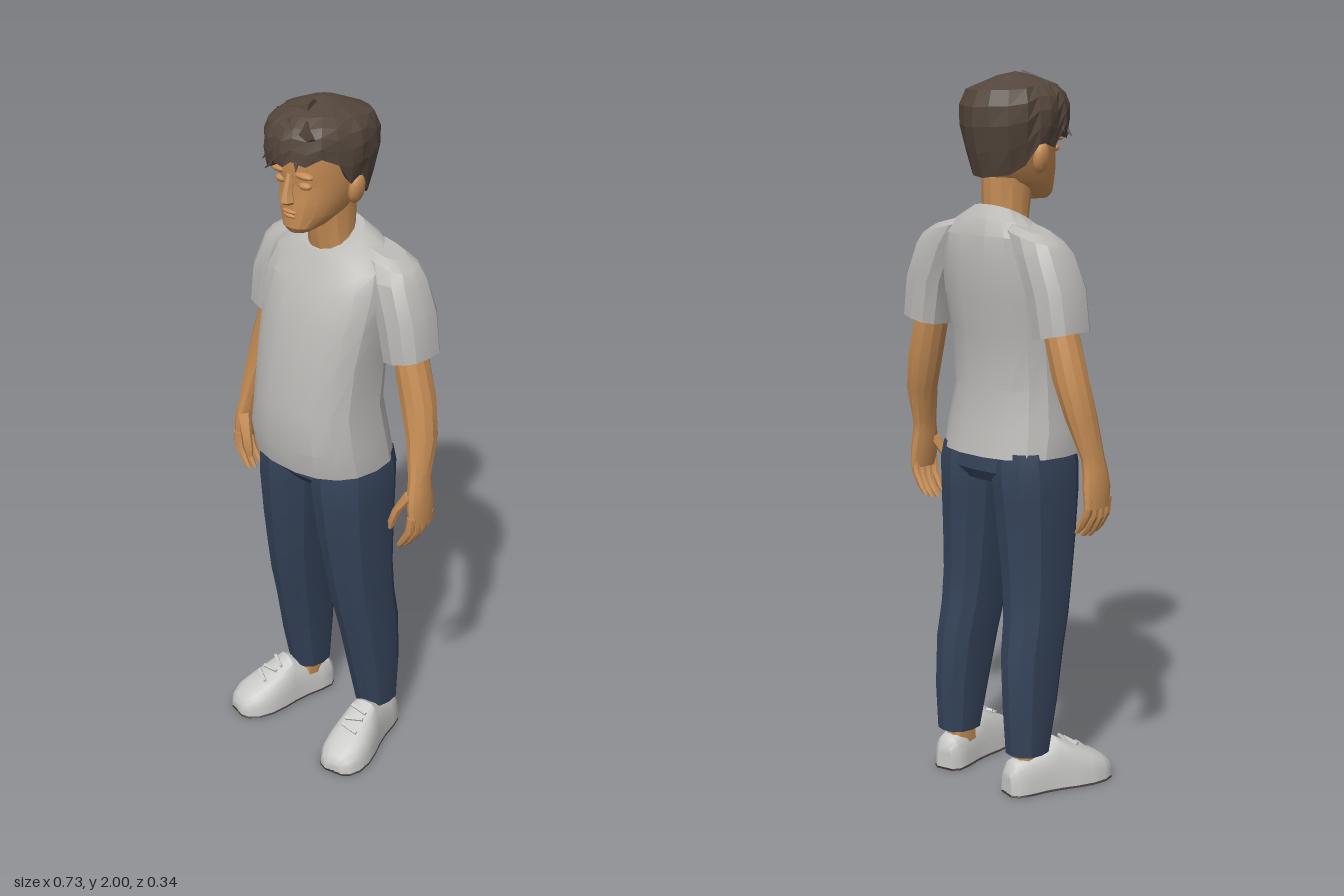
import * as THREE from 'three';
import { toCreasedNormals } from 'three/addons/utils/BufferGeometryUtils.js';

const mat = (name, color, flatShading = false) => {
  const m = new THREE.MeshStandardMaterial({ color, flatShading });
  m.name = name;
  return m;
};

// Skin a stack of closed rings of Vector3, with fan caps on both ends.
function skinRings(rings, crease = 0.4) {
  const n = rings[0].length, pos = [], idx = [];
  rings.forEach(r => r.forEach(p => pos.push(p.x, p.y, p.z)));
  for (let r = 0; r < rings.length - 1; r++) {
    for (let i = 0; i < n; i++) {
      const a = r * n + i, b = r * n + (i + 1) % n;
      idx.push(a, a + n, b, b, a + n, b + n);
    }
  }
  [0, rings.length - 1].forEach((r, end) => {
    const c = new THREE.Vector3();
    rings[r].forEach(p => c.addScaledVector(p, 1 / n));
    const ci = pos.length / 3;
    pos.push(c.x, c.y, c.z);
    for (let i = 0; i < n; i++) {
      const a = r * n + i, b = r * n + (i + 1) % n;
      if (end) idx.push(ci, b, a); else idx.push(ci, a, b);
    }
  });
  const g = new THREE.BufferGeometry();
  g.setAttribute('position', new THREE.Float32BufferAttribute(pos, 3));
  g.setIndex(idx);
  return toCreasedNormals(g, crease);
}

const spow = (v, e) => Math.sign(v) * Math.abs(v) ** e;

// Level sections, bottom to top: [y, centreX, halfWidth, zFront, zBack, tiltX, tiltZ]
function loft(sections, side = 1, n = 14, e = 0.85) {
  return skinRings(sections.map(([y, cx, rx, zf, zb, tx = 0, tz = 0]) =>
    Array.from({ length: n }, (_, i) => {
      const a = (i / n) * Math.PI * 2;
      const c = spow(Math.cos(a), e), s = spow(Math.sin(a), e);
      return new THREE.Vector3(cx * side + rx * c, y + tx * c * side + tz * s,
        (zf + zb) / 2 + (zf - zb) / 2 * s);
    })));
}

// Flat-bottomed sections along a shoe, toe to heel: [z, halfWidth, height]
function shoeLoft(sections, y0) {
  return skinRings(sections.map(([z, w, h]) =>
    Array.from({ length: 13 }, (_, i) => {
      const a = (i / 12) * Math.PI;
      return new THREE.Vector3(w * spow(Math.cos(a), 0.65),
        y0 + h * Math.max(0, Math.sin(a)) ** 0.8, z);
    })), 0.7);
}

export function createModel() {
  const model = new THREE.Group();
  const skin = mat('skin', 0xc68d55), shirt = mat('shirt grey', 0xbab9b6);
  const denim = mat('denim blue', 0x35435a), hairMat = mat('dark brown hair', 0x54463c, true);
  const shoeMat = mat('shoe white', 0xc9c9c7), soleMat = mat('dark sole', 0x3c3633);
  const add = (name, geo, m, parent = model) => {
    const mesh = new THREE.Mesh(geo, m);
    mesh.name = name;
    parent.add(mesh);
    return mesh;
  };
  const blob = (name, m, p, s, parent = model) => {
    const b = add(name, new THREE.SphereGeometry(1, 10, 8), m, parent);
    b.position.set(...p);
    b.scale.set(...s);
    return b;
  };

  // Shirt body, with the neckline dipping at the front
  add('shirtBody', loft([
    [0.965, 0, 0.203, 0.155, -0.175], [1.04, 0, 0.2, 0.17, -0.16],
    [1.15, 0, 0.183, 0.165, -0.142], [1.3, 0, 0.186, 0.14, -0.15],
    [1.4, 0, 0.195, 0.115, -0.165], [1.5, 0, 0.2, 0.08, -0.168],
    [1.555, 0, 0.19, 0.05, -0.163, 0, -0.015], [1.59, 0, 0.145, 0.037, -0.145, 0, -0.025],
    [1.615, 0, 0.088, 0.026, -0.115, 0, -0.035],
  ], 1, 18), shirt);

  // Hips
  add('trouserSeat', loft([
    [0.89, 0, 0.17, 0.08, -0.14], [0.92, 0, 0.199, 0.105, -0.158], [1.0, 0, 0.19, 0.1, -0.15],
  ], 1, 16), denim);

  for (const side of [1, -1]) {
    const tag = side > 0 ? 'left' : 'right';

    add(tag + 'Sleeve', loft([
      [1.315, 0.255, 0.066, -0.005, -0.162, 0.015], [1.43, 0.235, 0.07, 0, -0.166, 0.01],
      [1.53, 0.192, 0.076, -0.01, -0.162], [1.575, 0.165, 0.085, -0.03, -0.15, -0.02],
      [1.595, 0.15, 0.06, -0.05, -0.13, -0.015],
    ], side, 12, 0.8), shirt);

    // Arm and hand
    const arm = new THREE.Group();
    arm.name = tag + 'Arm';
    model.add(arm);
    add(tag + 'Forearm', loft([
      [0.855, 0.347, 0.018, 0.01, -0.085], [0.91, 0.343, 0.024, 0.012, -0.085],
      [0.955, 0.338, 0.026, 0.005, -0.08], [0.99, 0.333, 0.026, -0.004, -0.08],
      [1.1, 0.314, 0.041, -0.02, -0.116], [1.2, 0.286, 0.051, -0.028, -0.13],
      [1.3, 0.258, 0.048, -0.03, -0.132], [1.37, 0.235, 0.045, -0.035, -0.13],
    ], side, 12, 1), skin, arm);
    for (let f = 0; f < 4; f++) {
      const z = 0.002 - f * 0.024, lift = [0.008, 0, 0.004, 0.016][f];
      add(tag + 'Finger', loft([
        [0.765 + lift, 0.303, 0.008, z + 0.006, z - 0.006],
        [0.785 + lift, 0.318, 0.013, z + 0.01, z - 0.01],
        [0.825 + lift, 0.341, 0.014, z + 0.012, z - 0.012],
        [0.88, 0.347, 0.014, z + 0.012, z - 0.012],
      ], side, 7, 1), skin, arm);
    }
    add(tag + 'Thumb', loft([
      [0.826, 0.281, 0.007, 0.022, 0.008], [0.848, 0.285, 0.012, 0.026, 0.002],
      [0.89, 0.3, 0.014, 0.024, -0.006], [0.945, 0.332, 0.02, 0.008, -0.03],
    ], side, 7, 1), skin, arm);

    // Trouser leg and ankle
    add(tag + 'TrouserLeg', loft([
      [0.115, 0.14, 0.056, -0.03, -0.156], [0.25, 0.138, 0.062, 0.002, -0.165],
      [0.4, 0.131, 0.069, 0.032, -0.163], [0.5, 0.126, 0.075, 0.055, -0.145],
      [0.6, 0.12, 0.08, 0.072, -0.14], [0.72, 0.113, 0.088, 0.09, -0.145],
      [0.85, 0.106, 0.096, 0.105, -0.153], [0.93, 0.101, 0.1, 0.108, -0.158],
      [0.98, 0.1, 0.09, 0.1, -0.15],
    ], side, 12), denim);
    add(tag + 'Ankle', loft([
      [0.07, 0.138, 0.036, -0.04, -0.135], [0.16, 0.14, 0.036, -0.045, -0.135],
    ], side, 10), skin);

    // Shoe, toes turned out
    const shoe = new THREE.Group();
    shoe.name = tag + 'Shoe';
    shoe.position.x = 0.168 * side;
    shoe.rotation.y = 0.24 * side;
    model.add(shoe);
    const outline = [
      [0.168, 0.028, 0.028], [0.155, 0.05, 0.048], [0.125, 0.067, 0.07], [0.08, 0.072, 0.09],
      [0.03, 0.066, 0.115], [-0.015, 0.056, 0.14], [-0.06, 0.05, 0.115], [-0.115, 0.049, 0.1],
      [-0.152, 0.044, 0.09], [-0.17, 0.026, 0.065],
    ];
    add(tag + 'ShoeUpper', shoeLoft(outline, 0.006), shoeMat, shoe);
    add(tag + 'ShoeSole', shoeLoft(outline.map(([z, w]) => [z, w + 0.001, 0.008]), 0), soleMat, shoe);
    for (let k = 0; k < 3; k++) {
      const lace = add(tag + 'Lace', new THREE.BoxGeometry(0.055, 0.008, 0.009), shoeMat, shoe);
      lace.position.set(0, 0.102 + k * 0.016, 0.075 - k * 0.029);
      lace.rotation.set(0.5, (k % 2 ? 0.25 : -0.25), 0);
    }

    // Ear, eyelid and brow
    blob(tag + 'Ear', skin, [0.112 * side, 1.772, -0.015], [0.018, 0.042, 0.027]).rotation.z = -0.2 * side;
    blob(tag + 'Eyelid', skin, [0.042 * side, 1.793, 0.102], [0.021, 0.011, 0.016]);
    blob(tag + 'Brow', skin, [0.043 * side, 1.822, 0.108], [0.034, 0.01, 0.016]);
  }

  // Neck, head and face
  add('neck', loft([
    [1.54, 0, 0.075, 0.01, -0.1], [1.62, 0, 0.06, 0.03, -0.108], [1.72, 0, 0.06, 0.05, -0.112],
  ], 1, 14, 1), skin);
  add('head', loft([
    [1.656, 0, 0.03, 0.112, 0.04], [1.672, 0, 0.052, 0.122, 0], [1.705, 0, 0.075, 0.122, -0.07],
    [1.745, 0, 0.09, 0.122, -0.11], [1.79, 0, 0.1, 0.115, -0.13], [1.82, 0, 0.103, 0.122, -0.135],
    [1.88, 0, 0.105, 0.12, -0.14], [1.94, 0, 0.08, 0.08, -0.1],
  ], 1, 18, 0.9), skin);
  add('nose', loft([
    [1.738, 0, 0.014, 0.136, 0.1], [1.747, 0, 0.021, 0.148, 0.1],
    [1.77, 0, 0.013, 0.142, 0.1], [1.82, 0, 0.009, 0.125, 0.1],
  ], 1, 8, 1), skin);
  blob('upperLip', skin, [0, 1.717, 0.117], [0.027, 0.006, 0.011]);
  blob('lowerLip', skin, [0, 1.705, 0.116], [0.023, 0.007, 0.011]);

  // Hair cap: each column runs from an uneven lower edge [degrees, y] up to the crown
  const edge = [[180, 1.72], [160, 1.725], [138, 1.73], [118, 1.755], [104, 1.81], [92, 1.815],
    [80, 1.8], [65, 1.86], [48, 1.88], [32, 1.86], [16, 1.87], [5, 1.85], [-8, 1.86], [-18, 1.835],
    [-28, 1.845], [-38, 1.82], [-52, 1.835], [-66, 1.86], [-80, 1.8], [-92, 1.815], [-104, 1.81],
    [-118, 1.755], [-138, 1.73], [-160, 1.725]];
  const profile = [[1.7, 0.74], [1.74, 0.8], [1.8, 0.91], [1.87, 1], [1.92, 0.98], [1.955, 0.86],
    [1.982, 0.55], [2, 0]];
  const radiusAt = y => {
    let i = 0;
    while (i < profile.length - 2 && y > profile[i + 1][0]) i++;
    const [y0, r0] = profile[i], [y1, r1] = profile[i + 1];
    return r0 + (r1 - r0) * (y - y0) / (y1 - y0);
  };
  const hairRing = (t, shrink = 1) => edge.map(([deg, low], k) => {
    const a = THREE.MathUtils.degToRad(deg), y = low + (1.99 - low) * t;
    const r = radiusAt(y) * shrink * (1 + 0.02 * Math.sin(k * 2.3 + t * 4));
    return new THREE.Vector3(0.141 * r * Math.sin(a), y, 0.162 * r * Math.cos(a) - 0.002);
  });
  const crown = edge.map(() => new THREE.Vector3(0, 2, 0));
  add('hair', skinRings([hairRing(0.06, 0.72), ...[0, 0.25, 0.5, 0.7, 0.86, 1].map(t => hairRing(t)), crown]), hairMat);

  // Swept fringe locks: [root, tip, width]
  [[[0.07, 1.945, 0.1], [-0.06, 1.825, 0.152], 0.032],
    [[0.02, 1.95, 0.1], [-0.115, 1.825, 0.105], 0.034],
    [[0.03, 1.94, 0.11], [0.055, 1.845, 0.15], 0.03],
    [[-0.04, 1.95, 0.06], [-0.138, 1.84, 0.05], 0.034],
    [[0.02, 1.975, 0.05], [-0.09, 1.965, 0.075], 0.03]].forEach(([root, tip, w]) => {
    const a = new THREE.Vector3(...root), b = new THREE.Vector3(...tip);
    const lock = add('fringeLock', new THREE.ConeGeometry(w, a.distanceTo(b), 6), hairMat);
    lock.position.copy(a).add(b).multiplyScalar(0.5);
    lock.quaternion.setFromUnitVectors(new THREE.Vector3(0, 1, 0), b.clone().sub(a).normalize());
  });

  return model;
}
